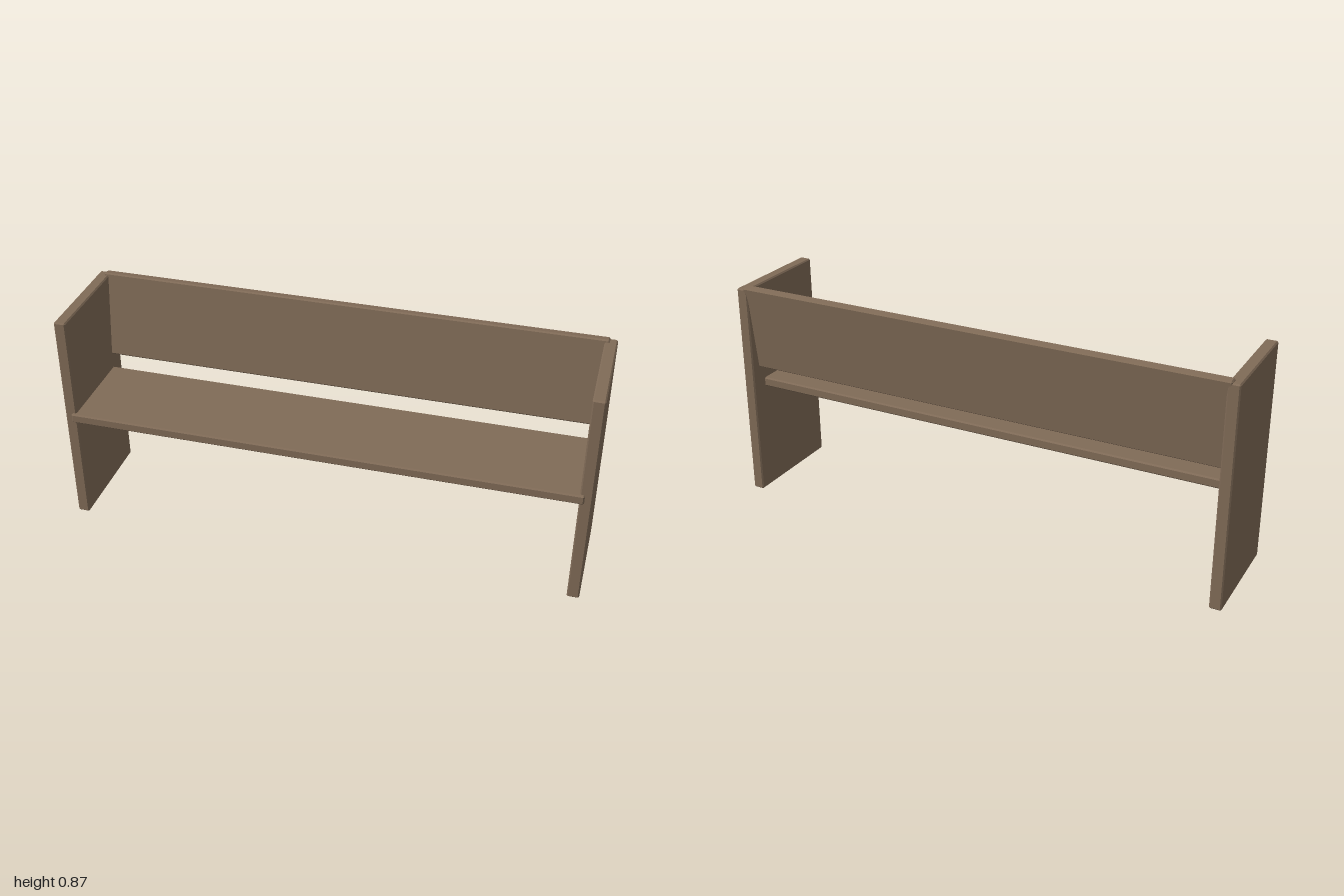
import * as THREE from 'three';
import { ConvexGeometry } from 'three/addons/geometries/ConvexGeometry.js';

// Board with a flat chamfer on every edge
function board(w, h, d, c) {
  const half = [w / 2, h / 2, d / 2];
  const points = [];
  for (const sx of [-1, 1]) for (const sy of [-1, 1]) for (const sz of [-1, 1]) {
    const s = [sx, sy, sz];
    for (let full = 0; full < 3; full++) {
      const p = half.map((v, i) => s[i] * (i === full ? v : v - c));
      points.push(new THREE.Vector3(...p));
    }
  }
  return new ConvexGeometry(points);
}

export function createModel() {
  const bench = new THREE.Group();
  bench.name = 'bench';
  const wood = new THREE.MeshStandardMaterial({ color: 0x806b57 });
  wood.name = 'brown wood';

  const add = (name, geometry, x, y, z) => {
    const mesh = new THREE.Mesh(geometry, wood);
    mesh.name = name;
    mesh.position.set(x, y, z);
    bench.add(mesh);
    return mesh;
  };

  // Upright side panels
  const panel = board(0.046, 0.863, 0.428, 0.005);
  add('leftPanel', panel, 0.977, 0.4315, -0.005);
  add('rightPanel', panel, -0.977, 0.4315, -0.005);

  // Level seat board, let into the panels and slightly proud in front
  add('seat', board(1.944, 0.037, 0.37, 0.005), 0, 0.454, 0.035);

  // Reclined backrest board
  const back = add('backrest', board(1.944, 0.342, 0.035, 0.005), 0, 0.701, -0.1825);
  back.rotation.x = -0.125;

  return bench;
}
